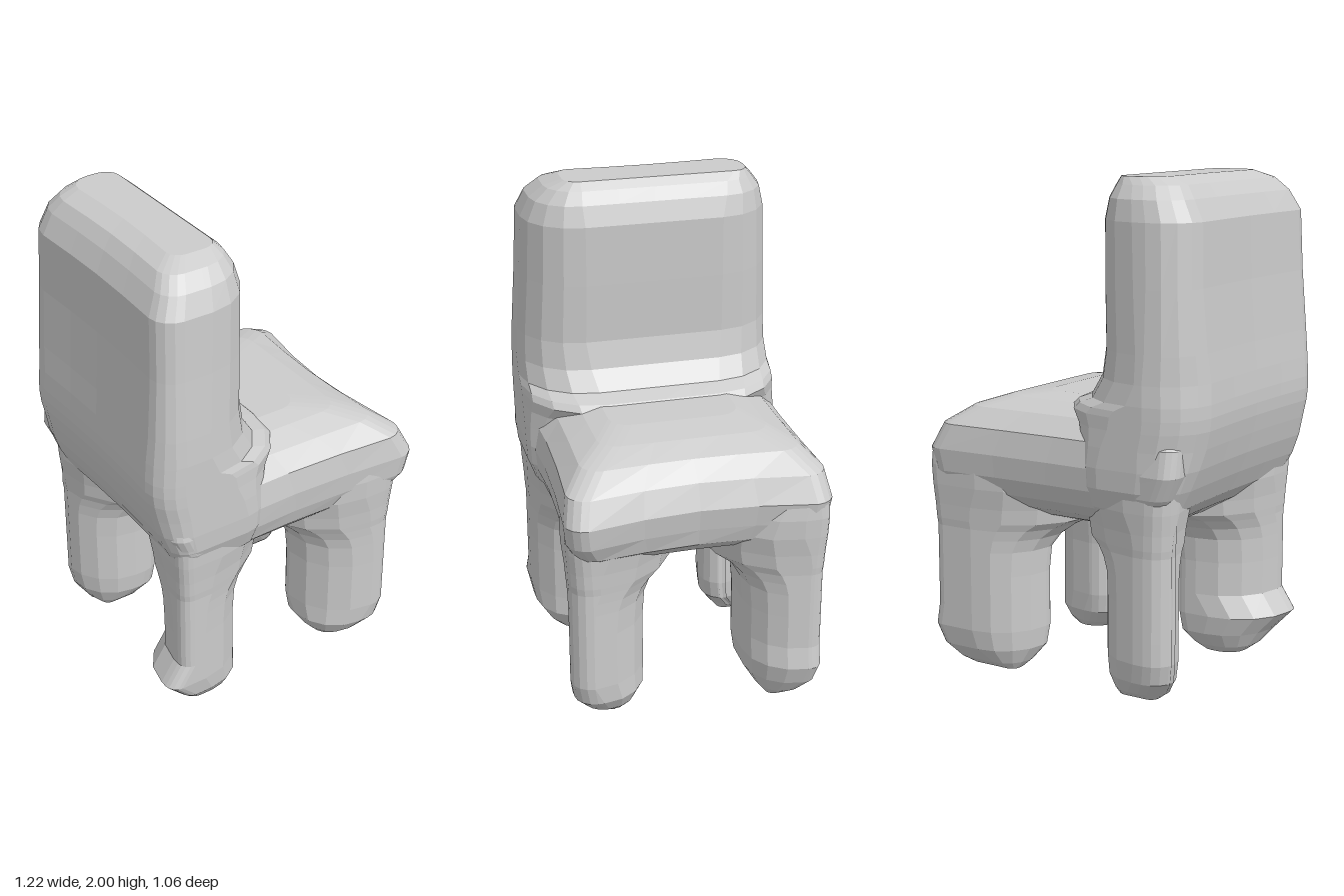
import * as THREE from 'three';

const ARC = 4; // facets per rounded corner
const SIGNS = [[1, 1], [-1, 1], [-1, -1], [1, -1]];

// One horizontal slice: a rectangle with four corner radii whose sides may be pinched inwards.
function slice({ y, x0, x1, z0, z1, r, pinch = [0, 0, 0, 0] }) {
  const corners = SIGNS.map(([sx, sz], k) => {
    const rad = Math.min(r[k], Math.min(x1 - x0, z1 - z0) - 0.06);
    const cx = sx > 0 ? x1 - rad : x0 + rad;
    const cz = sz > 0 ? z1 - rad : z0 + rad;
    return Array.from({ length: ARC + 1 }, (_, j) => {
      const a = (k + j / ARC) * Math.PI / 2;
      return new THREE.Vector3(cx + rad * Math.cos(a), y, cz + rad * Math.sin(a));
    });
  });
  // Sides following each corner face +z, -x, -z, +x
  const inward = [[0, -1], [1, 0], [0, 1], [-1, 0]];
  return corners.flatMap((pts, k) => {
    const next = corners[(k + 1) % 4][0];
    const mids = [0.25, 0.5, 0.75].map((t) => {
      const p = pts[ARC].clone().lerp(next, t);
      const d = pinch[k] * Math.sin(Math.PI * t);
      p.x += inward[k][0] * d;
      p.z += inward[k][1] * d;
      return p;
    });
    return [...pts, ...mids];
  });
}

// Joins slices from bottom to top and closes both ends.
function loft(name, sections, material) {
  const rings = sections.map(slice);
  const n = rings[0].length;
  const pos = [];
  const idx = [];
  rings.forEach((ring) => ring.forEach((p) => pos.push(p.x, p.y, p.z)));
  for (let i = 0; i < rings.length - 1; i++) {
    for (let j = 0; j < n; j++) {
      const a = i * n + j;
      const b = i * n + (j + 1) % n;
      idx.push(a, a + n, b, b, a + n, b + n);
    }
  }
  [0, rings.length - 1].forEach((i) => {
    const c = new THREE.Vector3();
    rings[i].forEach((p) => c.addScaledVector(p, 1 / n));
    const center = pos.length / 3;
    pos.push(c.x, c.y, c.z);
    for (let j = 0; j < n; j++) {
      const a = i * n + j;
      const b = i * n + (j + 1) % n;
      if (i === 0) idx.push(center, a, b);
      else idx.push(center, b, a);
    }
  });
  const geo = new THREE.BufferGeometry();
  geo.setAttribute('position', new THREE.Float32BufferAttribute(pos, 3));
  geo.setIndex(idx);
  geo.computeVertexNormals();
  const mesh = new THREE.Mesh(geo, material);
  mesh.name = name;
  return mesh;
}

export function createModel() {
  const group = new THREE.Group();
  group.name = 'chair';
  const material = new THREE.MeshStandardMaterial({ color: 0xcccccc, flatShading: true });

  // Seat: soft slab with a domed underside, waisted along its open sides
  // [y, back, front, half depth, pinch]
  const seat = [
    [0.61, -0.13, 0.15, 0.15, 0], [0.63, -0.24, 0.27, 0.26, 0], [0.66, -0.33, 0.38, 0.35, 0],
    [0.7, -0.41, 0.47, 0.425, 0.2], [0.75, -0.47, 0.55, 0.485, 0.6], [0.82, -0.51, 0.59, 0.52, 1],
    [0.91, -0.55, 0.605, 0.53, 1], [1.01, -0.55, 0.555, 0.51, 0.8], [1.08, -0.52, 0.455, 0.435, 0.3],
    [1.12, -0.48, 0.34, 0.34, 0], [1.14, -0.4, 0.2, 0.26, 0],
  ].map(([y, x0, x1, z, k]) => ({
    y, x0, x1, z0: -z, z1: z, r: [0.08, 0.06, 0.06, 0.08], pinch: [0.03 * k, 0, 0.015 * k, 0.06 * k],
  }));
  group.add(loft('seat', seat, material));

  // Backrest: thick upright, rounder at the front, flowing out into the seat
  // [y, back, front, z min, z max, front radius, back radius]
  const backrest = [
    [0.64, -0.34, -0.2, -0.34, 0.34, 0.06, 0.05], [0.7, -0.44, -0.15, -0.445, 0.445, 0.08, 0.06],
    [0.76, -0.5, -0.12, -0.495, 0.495, 0.1, 0.07], [0.84, -0.54, -0.1, -0.525, 0.525, 0.12, 0.09],
    [0.92, -0.57, -0.09, -0.53, 0.53, 0.13, 0.1], [1.0, -0.59, -0.08, -0.53, 0.53, 0.16, 0.11],
    [1.07, -0.605, -0.03, -0.53, 0.53, 0.24, 0.11], [1.12, -0.61, 0.03, -0.53, 0.53, 0.31, 0.11],
    [1.145, -0.61, 0.0, -0.53, 0.53, 0.3, 0.11], [1.17, -0.61, -0.07, -0.53, 0.53, 0.28, 0.11],
    [1.25, -0.605, -0.125, -0.525, 0.53, 0.26, 0.11], [1.36, -0.595, -0.148, -0.52, 0.525, 0.24, 0.1],
    [1.6, -0.578, -0.142, -0.51, 0.51, 0.23, 0.09], [1.84, -0.57, -0.14, -0.5, 0.5, 0.22, 0.09],
    [1.92, -0.53, -0.165, -0.48, 0.465, 0.18, 0.08], [1.97, -0.49, -0.195, -0.44, 0.41, 0.13, 0.07],
    [2.0, -0.42, -0.23, -0.41, 0.34, 0.06, 0.05],
  ].map(([y, x0, x1, z0, z1, f, b]) => ({
    y, x0, x1, z0, z1, r: [f, b, b * 1.7, f], pinch: [0, 0.012, 0, 0],
  }));
  group.add(loft('backrest', backrest, material));

  // Legs: blade-like along the diagonal, rounded at the foot, flaring inwards under the seat
  // [y, outward growth, inward growth, side corner radius]
  const legProfile = [
    [0, -0.1, -0.08, 0.08], [0.03, -0.06, -0.05, 0.13], [0.09, -0.015, -0.01, 0.2],
    [0.17, 0, 0, 0.25], [0.26, 0, 0, 0.25], [0.4, 0, 0, 0.25], [0.5, 0, 0.007, 0.25],
    [0.55, 0, 0.035, 0.27], [0.59, 0, 0.08, 0.3], [0.62, 0.003, 0.14, 0.36],
    [0.68, 0.006, 0.15, 0.36], [0.76, 0.012, 0.14, 0.32], [0.84, 0.015, 0.08, 0.26],
    [0.92, 0.01, 0, 0.2],
  ];
  const legs = [
    { name: 'frontLeftLeg', sx: 1, sz: -1, x: [0.185, 0.585], z: [0.225, 0.5], kick: 0.015, tight: 0.045 },
    { name: 'frontRightLeg', sx: 1, sz: 1, x: [0.185, 0.53], z: [0.17, 0.5], kick: 0, tight: 0.08 },
    { name: 'backLeftLeg', sx: -1, sz: -1, x: [0.15, 0.5], z: [0.225, 0.5], kick: 0, tight: 0.09 },
    { name: 'backRightLeg', sx: -1, sz: 1, x: [0.15, 0.5], z: [0.17, 0.5], kick: 0.06, tight: 0.05 },
  ];
  for (const { name, sx, sz, x, z, kick, tight } of legs) {
    const sections = legProfile.map(([y, out, inn, side]) => {
      const heel = y === 0.17 ? kick : 0;
      const xs = [sx * (x[0] - inn), sx * (x[1] + out + heel)].sort((a, b) => a - b);
      const zs = [sz * (z[0] - inn), sz * (z[1] + out)].sort((a, b) => a - b);
      const r = sx * sz > 0 ? [tight, side, tight, side] : [side, tight, side, tight];
      return { y, x0: xs[0], x1: xs[1], z0: zs[0], z1: zs[1], r };
    });
    group.add(loft(name, sections, material));
  }
  return group;
}
